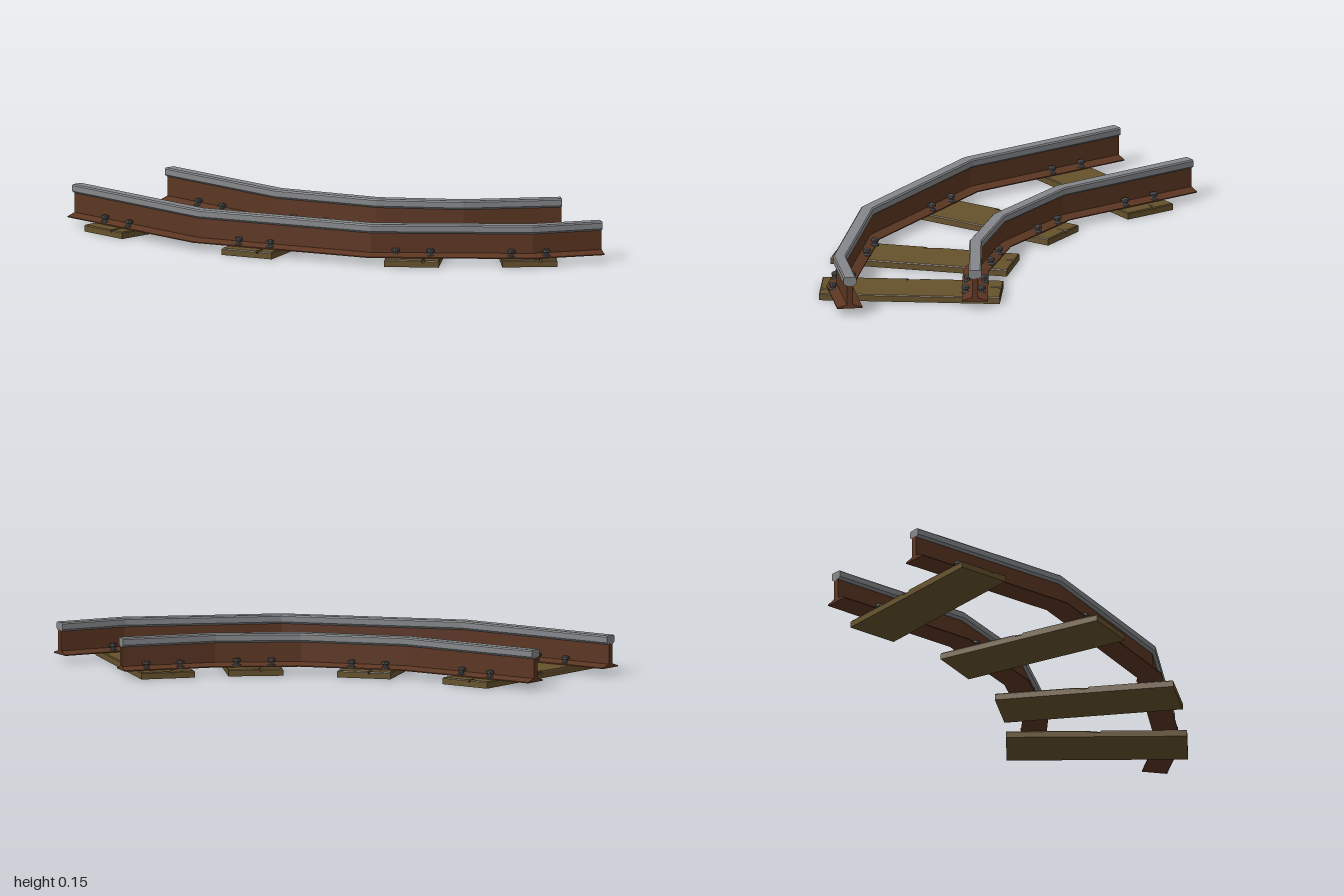
import * as THREE from 'three';

const mat = (color) => new THREE.MeshStandardMaterial({ color, flatShading: true });
const rust = mat(0x5c3622);
const steel = mat(0x85878a);
const wood = mat(0x66522d);
const iron = mat(0x505052);

// Closed symmetric profile from its right-hand half, listed bottom to top
function symmetricShape(half) {
  const left = half.map(([x, y]) => [-x, y]).reverse();
  return new THREE.Shape([...half, ...left].map(([x, y]) => new THREE.Vector2(x, y)));
}

// Sweep a profile along a ground path of [x, z] points with mitred corners
function sweep(shape, path) {
  const n = path.length;
  const pts = path.map(([x, z]) => new THREE.Vector2(x, z));
  const dirs = pts.slice(1).map((p, i) => p.clone().sub(pts[i]).normalize());
  const sides = pts.map((_, i) => {
    const a = dirs[Math.max(i - 1, 0)];
    const b = dirs[Math.min(i, n - 2)];
    const m = a.clone().add(b).normalize();
    return new THREE.Vector2(m.y, -m.x).divideScalar(m.dot(a));
  });
  const geo = new THREE.ExtrudeGeometry(shape, { depth: n - 1, steps: n - 1, bevelEnabled: false });
  const pos = geo.attributes.position;
  for (let i = 0; i < pos.count; i++) {
    const k = Math.round(pos.getZ(i));
    const x = pos.getX(i);
    pos.setX(i, pts[k].x + sides[k].x * x);
    pos.setZ(i, pts[k].y + sides[k].y * x);
  }
  geo.computeVertexNormals();
  return geo;
}

// Flanged foot with a web, and the running head on top
const bodyShape = symmetricShape([[0.05, 0.027], [0.05, 0.031], [0.012, 0.042], [0.012, 0.124]]);
const headShape = symmetricShape([[0.014, 0.119], [0.025, 0.127], [0.025, 0.149], [0.02, 0.154]]);

function createRail(name, path) {
  const rail = new THREE.Group();
  rail.name = name;
  const body = new THREE.Mesh(sweep(bodyShape, path), rust);
  body.name = 'railBody';
  const head = new THREE.Mesh(sweep(headShape, path), steel);
  head.name = 'railHead';
  rail.add(body, head);
  return rail;
}

// Bolt: washer, shank and wider cap turned in one profile
const boltGeo = new THREE.LatheGeometry(
  [[0, 0], [0.016, 0], [0.016, 0.006], [0.009, 0.009], [0.009, 0.016], [0.016, 0.018], [0.016, 0.026], [0.012, 0.029], [0, 0.029]]
    .map(([x, y]) => new THREE.Vector2(x, y)), 8);

// Plank with split ends cut into its upper layer
const L = 0.3525, W = 0.107;
const plankShape = new THREE.Shape([
  [-L, W], [-L, 0.049], [-0.28, 0.045], [-L, 0.04], [-L, -W],
  [-0.015, -W], [-0.025, -0.092], [0.04, -W],
  [L, -W], [L, -0.024], [0.31, -0.02], [L, -0.016], [L, W],
].map(([x, z]) => new THREE.Vector2(x, -z)));
const plankGeo = new THREE.ExtrudeGeometry(plankShape, {
  depth: 0.008, bevelThickness: 0.004, bevelSize: 0.003, bevelOffset: -0.003, bevelSegments: 1,
}).rotateX(-Math.PI / 2).translate(0, 0.015, 0);
const baseGeo = new THREE.BoxGeometry(2 * L, 0.018, 2 * W).translate(0, 0.009, 0);

function createSleeper({ x, z, angle, rails }) {
  const sleeper = new THREE.Group();
  sleeper.name = 'sleeper';
  const base = new THREE.Mesh(baseGeo, wood);
  base.name = 'sleeperBase';
  const top = new THREE.Mesh(plankGeo, wood);
  top.name = 'sleeperTop';
  sleeper.add(base, top);
  // Four bolts where each rail crosses
  for (const r of rails)
    for (const sx of [-1, 1])
      for (const sz of [-1, 1]) {
        const bolt = new THREE.Mesh(boltGeo, iron);
        bolt.name = 'bolt';
        bolt.position.set(r + sx * 0.032, 0.031, sz * 0.068);
        sleeper.add(bolt);
      }
  sleeper.position.set(x, 0, z);
  sleeper.rotation.y = angle;
  return sleeper;
}

export function createModel() {
  const model = new THREE.Group();
  model.name = 'curvedTrack';

  model.add(createRail('outerRail', [[-0.55, -1], [-0.55, -0.295], [-0.27, 0.38], [0.17, 0.82], [0.42, 0.945]]));
  model.add(createRail('innerRail', [[-0.057, -1], [-0.052, -0.385], [0.1, 0.015], [0.315, 0.275], [0.627, 0.497]]));

  const sleepers = [
    { x: -0.302, z: -0.738, angle: 0, rails: [-0.248, 0.248] },
    { x: -0.225, z: -0.16, angle: 0.375, rails: [-0.248, 0.248] },
    { x: 0.037, z: 0.322, angle: 0.73, rails: [-0.248, 0.248] },
    { x: 0.335, z: 0.595, angle: 0.89, rails: [-0.268, 0.248] },
  ];
  for (const s of sleepers) model.add(createSleeper(s));
  return model;
}
